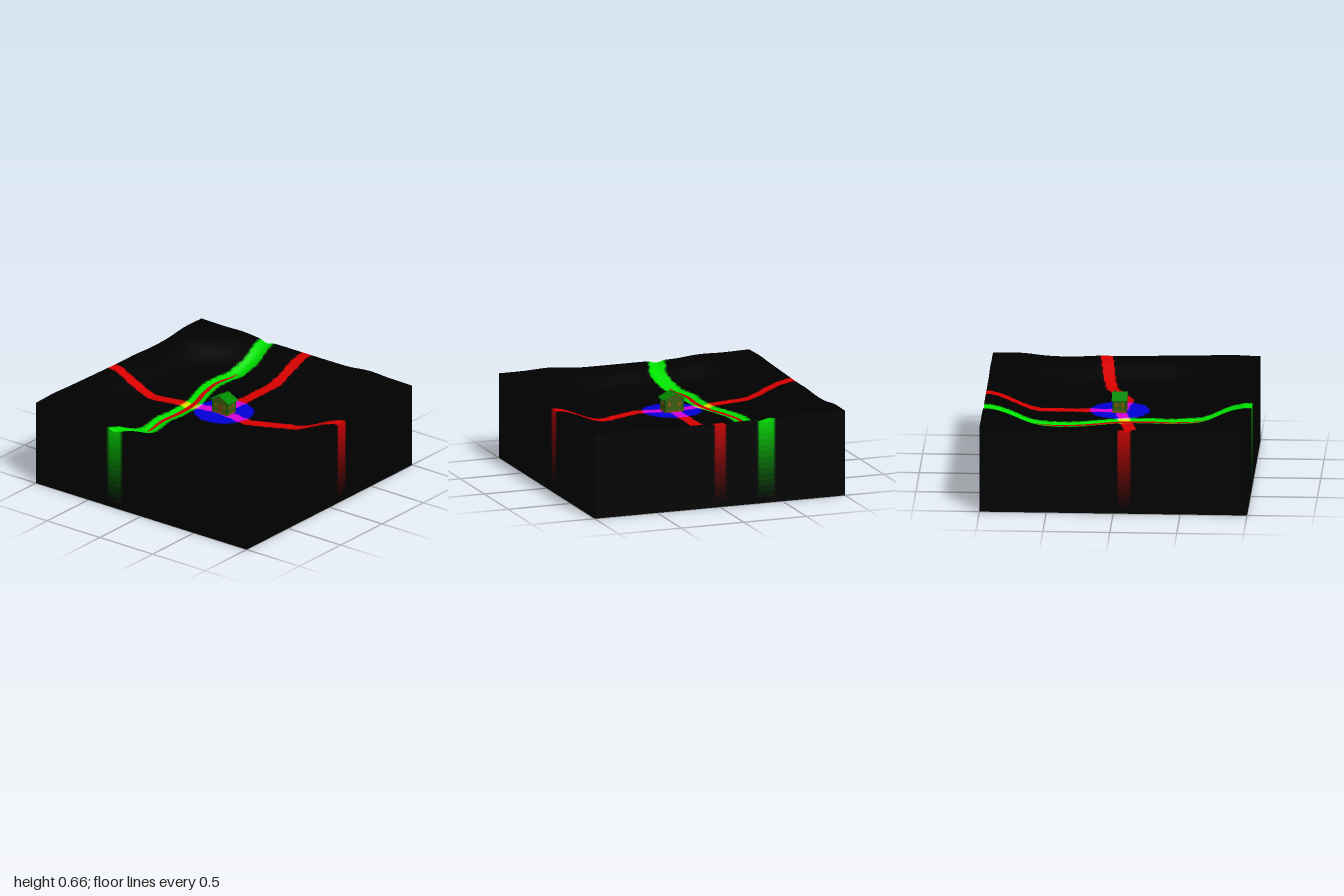
import * as THREE from 'three';

const N = 180, ROWS = 14, FLOOR = 0.508;
const { clamp, smoothstep, lerp } = THREE.MathUtils;

// Smooth curve through values spaced evenly from -1 to 1
function spline(v) {
  return (s) => {
    const f = clamp((s + 1) / 2, 0, 1) * (v.length - 1);
    const i = Math.min(Math.floor(f), v.length - 2), t = f - i;
    const a = v[Math.max(i - 1, 0)], b = v[i], c = v[i + 1], d = v[Math.min(i + 2, v.length - 1)];
    return b + 0.5 * t * (c - a + t * (2 * a - 5 * b + 4 * c - d + t * (3 * (b - c) + d - a)));
  };
}
const riverX = spline([-0.375, -0.345, -0.36, -0.385, -0.345, -0.28, -0.26, -0.27, -0.235, -0.2, -0.255]);
const rimX = spline([0.658, 0.65, 0.653, 0.636, 0.635, 0.635, 0.635, 0.638, 0.658, 0.65, 0.648]);
const rimZ = spline([0.645, 0.65, 0.628, 0.625, 0.635, 0.635, 0.64, 0.645, 0.65, 0.658, 0.65]);

const roads = [
  [[-1, 0.08], [-0.75, 0.1], [-0.55, 0.11], [-0.25, 0.05], [0, 0]],
  [[0, 0.01], [0.27, 0.05], [0.55, -0.08], [0.75, -0.12], [1, -0.15]],
  [[0, -1], [-0.01, -0.5], [-0.01, -0.1], [0, 0]],
];

function roadDistance(x, z) {
  let best = 9;
  for (const road of roads) for (let i = 1; i < road.length; i++) {
    const [ax, az] = road[i - 1], dx = road[i][0] - ax, dz = road[i][1] - az;
    const t = clamp(((x - ax) * dx + (z - az) * dz) / (dx * dx + dz * dz), 0, 1);
    best = Math.min(best, Math.hypot(x - ax - t * dx, z - az - t * dz));
  }
  return best;
}

// Flat valley floor, raised uneven rim, shallow river bed
function height(x, z) {
  const x4 = x ** 4, z4 = z ** 4;
  const rim = (rimX(x) * z4 + rimZ(z) * x4 + 1e-6) / (x4 + z4 + 1e-6);
  const up = smoothstep((x4 + z4) ** 0.25, 0.57, 1);
  const bed = 1 - smoothstep(Math.abs(x - riverX(z)), 0, 0.075);
  return lerp(FLOOR, rim, up) - 0.017 * bed;
}

function slopeNormal(x, z) {
  const e = 0.008;
  return new THREE.Vector3(height(x - e, z) - height(x + e, z), 2 * e, height(x, z - e) - height(x, z + e)).normalize();
}

// Zone strengths in steps: road, river, clearing
function zones(x, z) {
  const wobble = 0.006 * Math.sin(47 * x + 31 * z) * Math.sin(61 * z - 23 * x);
  const soft = (d, a, b) => Math.round((1 - smoothstep(d + wobble, a, b)) * 4) / 4;
  return [
    soft(roadDistance(x, z), 0.036, 0.053),
    soft(Math.abs(x - riverX(z)), 0.05, 0.082),
    soft(Math.hypot(x, z), 0.21, 0.235),
  ];
}

function createTerrain() {
  const group = new THREE.Group();
  group.name = 'terrain';
  const buckets = new Map();

  // Collect quads by colour so every tone becomes one mesh
  function addQuad(points, normals, tone, part) {
    const main = Math.max(...tone) < 0.05 ? 'soil' : ['road', 'river', 'clearing'][tone.indexOf(Math.max(...tone))];
    const key = [part + main, ...tone.map((v) => v.toFixed(2))].join();
    if (!buckets.has(key)) buckets.set(key, { name: part + main, tone, pos: [], nor: [] });
    const b = buckets.get(key);
    for (const i of [0, 1, 2, 0, 2, 3]) {
      b.pos.push(...points[i].toArray());
      b.nor.push(...normals[i].toArray());
    }
  }

  // Upper surface
  const grid = [];
  for (let i = 0; i <= N; i++) for (let j = 0; j <= N; j++) {
    const x = -1 + 2 * i / N, z = -1 + 2 * j / N;
    grid.push({ p: new THREE.Vector3(x, height(x, z), z), n: slopeNormal(x, z) });
  }
  for (let i = 0; i < N; i++) for (let j = 0; j < N; j++) {
    const k = i * (N + 1) + j;
    const c = [grid[k], grid[k + 1], grid[k + N + 2], grid[k + N + 1]];
    const tone = zones(-1 + (2 * i + 1) / N, -1 + (2 * j + 1) / N);
    addQuad(c.map((v) => v.p), c.map((v) => v.n), tone, 'surface ');
  }

  // Four cut sides, colour bands fading downward
  for (let s = 0; s < 4; s++) {
    const a = s * Math.PI / 2;
    const n = new THREE.Vector3(Math.round(Math.sin(a)), 0, Math.round(Math.cos(a)));
    const at = (t, f) => {
      const x = n.x + n.z * t, z = n.z - n.x * t;
      return new THREE.Vector3(x, height(x, z) * f, z);
    };
    for (let i = 0; i < N; i++) {
      const t0 = -1 + 2 * i / N, t1 = t0 + 2 / N, m = at((t0 + t1) / 2, 1);
      const base = zones(m.x, m.z);
      for (let r = 0; r < ROWS; r++) {
        const f0 = r / ROWS, f1 = (r + 1) / ROWS;
        addQuad([at(t0, f0), at(t1, f0), at(t1, f1), at(t0, f1)], [n, n, n, n], base.map((v) => v * f0), 'side ');
      }
    }
  }

  for (const { name, tone, pos, nor } of buckets.values()) {
    const geo = new THREE.BufferGeometry();
    geo.setAttribute('position', new THREE.Float32BufferAttribute(pos, 3));
    geo.setAttribute('normal', new THREE.Float32BufferAttribute(nor, 3));
    const color = new THREE.Color().setRGB(tone[0] * 0.85, tone[1] * 0.88, tone[2] * 0.85, THREE.SRGBColorSpace);
    group.add(mesh(geo, color, name));
  }

  // Underside
  const base = mesh(new THREE.PlaneGeometry(2, 2), 0x000000, 'base');
  base.rotation.x = Math.PI / 2;
  group.add(base);
  return group;
}

function mesh(geo, color, name, x = 0, y = 0, z = 0) {
  const m = new THREE.Mesh(geo, new THREE.MeshStandardMaterial({ color }));
  m.name = name;
  m.position.set(x, y, z);
  return m;
}

// Tapered strip along the middle of the river
function createStream() {
  const steps = 80, pos = [], index = [];
  for (let i = 0; i <= steps; i++) {
    const t = i / steps, z = lerp(-0.62, 0.65, t), x = riverX(z);
    const w = 0.019 * Math.pow(Math.sin(Math.PI * t), 0.5) + 0.001;
    const y = height(x, z) + 0.005;
    pos.push(x - w, y, z, x + w, y, z);
    const k = 2 * i;
    if (i < steps) index.push(k, k + 2, k + 1, k + 1, k + 2, k + 3);
  }
  const geo = new THREE.BufferGeometry();
  geo.setAttribute('position', new THREE.Float32BufferAttribute(pos, 3));
  geo.setIndex(index);
  geo.computeVertexNormals();
  const stream = mesh(geo, 0xc80000, 'stream');
  stream.material.side = THREE.DoubleSide;
  return stream;
}

function createHouse() {
  const house = new THREE.Group();
  house.name = 'house';
  house.position.y = FLOOR;
  const box = (w, h, d, color, name, x, y, z) => {
    const m = mesh(new THREE.BoxGeometry(w, h, d), color, name, x, y, z);
    house.add(m);
    return m;
  };

  // Plinth and gabled walls
  box(0.15, 0.016, 0.104, 0x6e5208, 'plinth', 0, 0.006, 0);
  const outline = new THREE.Shape([[-0.07, 0], [0.07, 0], [0.07, 0.104], [0, 0.139], [-0.07, 0.104]]
    .map(([x, y]) => new THREE.Vector2(x, y)));
  const walls = new THREE.ExtrudeGeometry(outline, { depth: 0.094, bevelEnabled: false });
  house.add(mesh(walls, 0x3c5c0c, 'walls', 0, 0, -0.047));

  // Roof slopes with the ridge running front to back
  const pitch = Math.atan2(0.046, 0.09);
  for (const s of [-1, 1]) {
    const slope = box(0.101, 0.006, 0.116, 0x008a00, 'roofSlope', s * 0.045, 0.12, 0);
    slope.rotation.z = -s * pitch;
    // Side windows and corner posts
    for (const z of [-0.024, 0.024]) box(0.004, 0.026, 0.02, 0x8a5a08, 'sideWindow', s * 0.071, 0.06, z);
    for (const z of [-0.047, 0.047]) box(0.01, 0.1, 0.01, 0x0c5c0c, 'cornerPost', s * 0.069, 0.05, z);
    // Windows beside the door and on the back
    for (const z of [-0.048, 0.048]) box(0.022, 0.026, 0.004, 0x8a5a08, 'window', s * 0.04, 0.06, z);
  }
  box(0.026, 0.056, 0.004, 0x8a3a08, 'door', 0, 0.04, 0.048);
  box(0.01, 0.022, 0.01, 0x0c6c0c, 'chimney', 0, 0.145, -0.035);
  return house;
}

export function createModel() {
  const model = new THREE.Group();
  model.name = 'valleyBlock';
  model.add(createTerrain(), createStream(), createHouse());
  return model;
}
